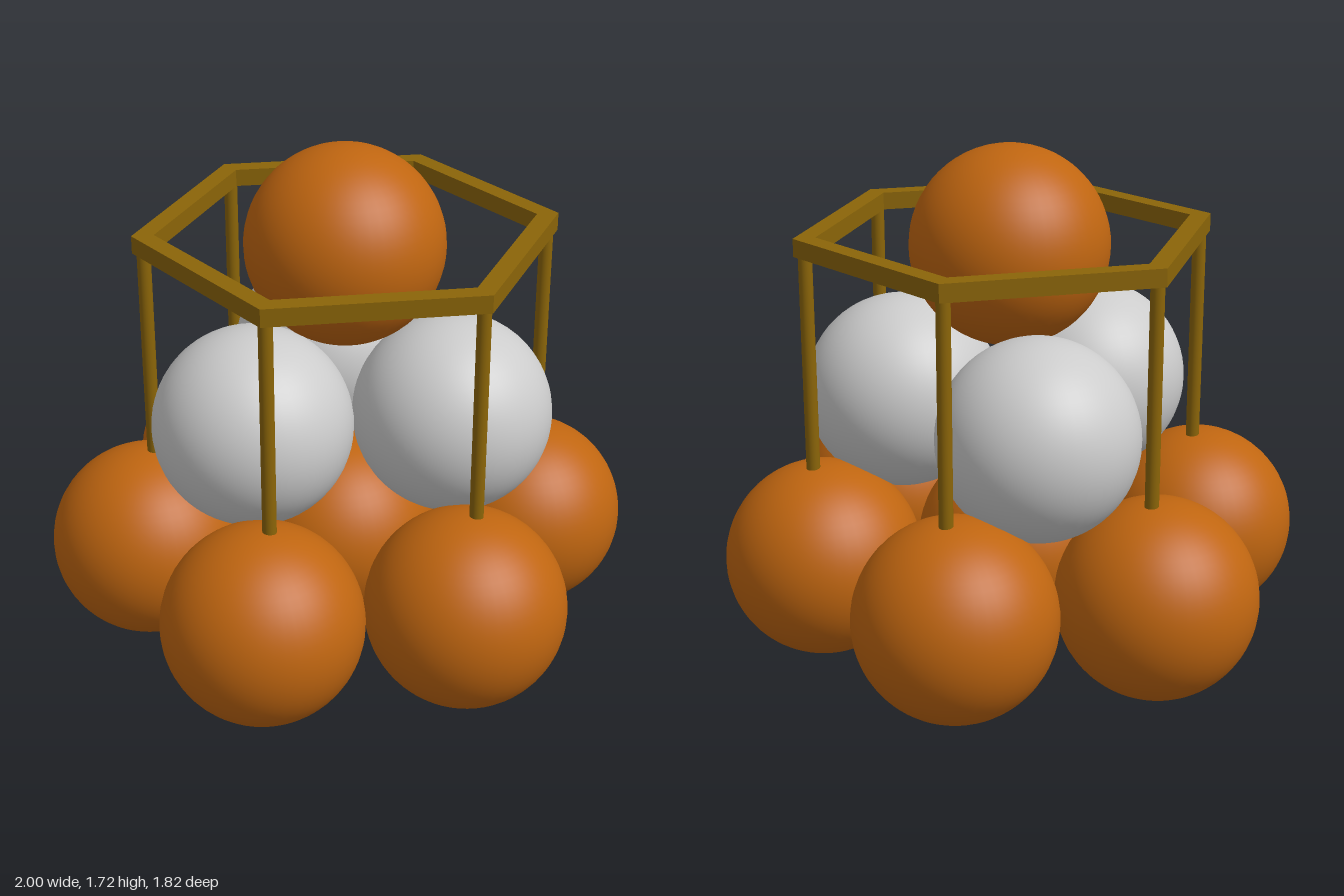
import * as THREE from 'three';

const R = 1 / 3; // ball radius

export function createModel() {
  const model = new THREE.Group();
  model.name = 'stackedBalls';
  const orange = new THREE.MeshStandardMaterial({ color: 0xbf6510 });
  const grey = new THREE.MeshStandardMaterial({ color: 0xcccccc });
  const gold = new THREE.MeshStandardMaterial({ color: 0x8b6508 });

  const ballGeometry = new THREE.SphereGeometry(R, 48, 32);
  const add = (name, geometry, material, x, y, z) => {
    const mesh = new THREE.Mesh(geometry, material);
    mesh.name = name;
    mesh.position.set(x, y, z);
    model.add(mesh);
    return mesh;
  };
  // Points of a regular polygon in the horizontal plane
  const around = (count, radius, start, cz) =>
    Array.from({ length: count }, (_, i) => {
      const a = start + (i * 2 * Math.PI) / count;
      return [radius * Math.cos(a), cz + radius * Math.sin(a)];
    });

  // Bottom layer: one ball surrounded by six
  add('bottomCentreBall', ballGeometry, orange, 0, R, 0);
  around(6, 2 * R, 0, 0).forEach(([x, z], i) =>
    add(`bottomBall${i + 1}`, ballGeometry, orange, x, R, z));

  // Middle layer: three balls, one in front
  around(3, 0.385, Math.PI / 2, -0.022).forEach(([x, z], i) =>
    add(`middleBall${i + 1}`, ballGeometry, grey, x, 0.847, z));

  // Top ball
  add('topBall', ballGeometry, orange, 0, 1.39, -0.022);

  // Six posts standing on the outer bottom balls
  const frameZ = -0.034;
  const postGeometry = new THREE.CylinderGeometry(0.023, 0.023, 0.77, 20);
  around(6, 2 * R, 0, frameZ).forEach(([x, z], i) =>
    add(`post${i + 1}`, postGeometry, gold, x, 1.025, z));

  // Hexagonal frame resting on the posts
  const hexagon = (radius) => around(6, radius, 0, 0).map(([x, y]) => new THREE.Vector2(x, y));
  const shape = new THREE.Shape(hexagon(0.704));
  shape.holes.push(new THREE.Path(hexagon(0.631)));
  const frameGeometry = new THREE.ExtrudeGeometry(shape, { depth: 0.06, bevelEnabled: false });
  frameGeometry.rotateX(-Math.PI / 2);
  add('hexagonFrame', frameGeometry, gold, 0, 1.395, frameZ);

  return model;
}
